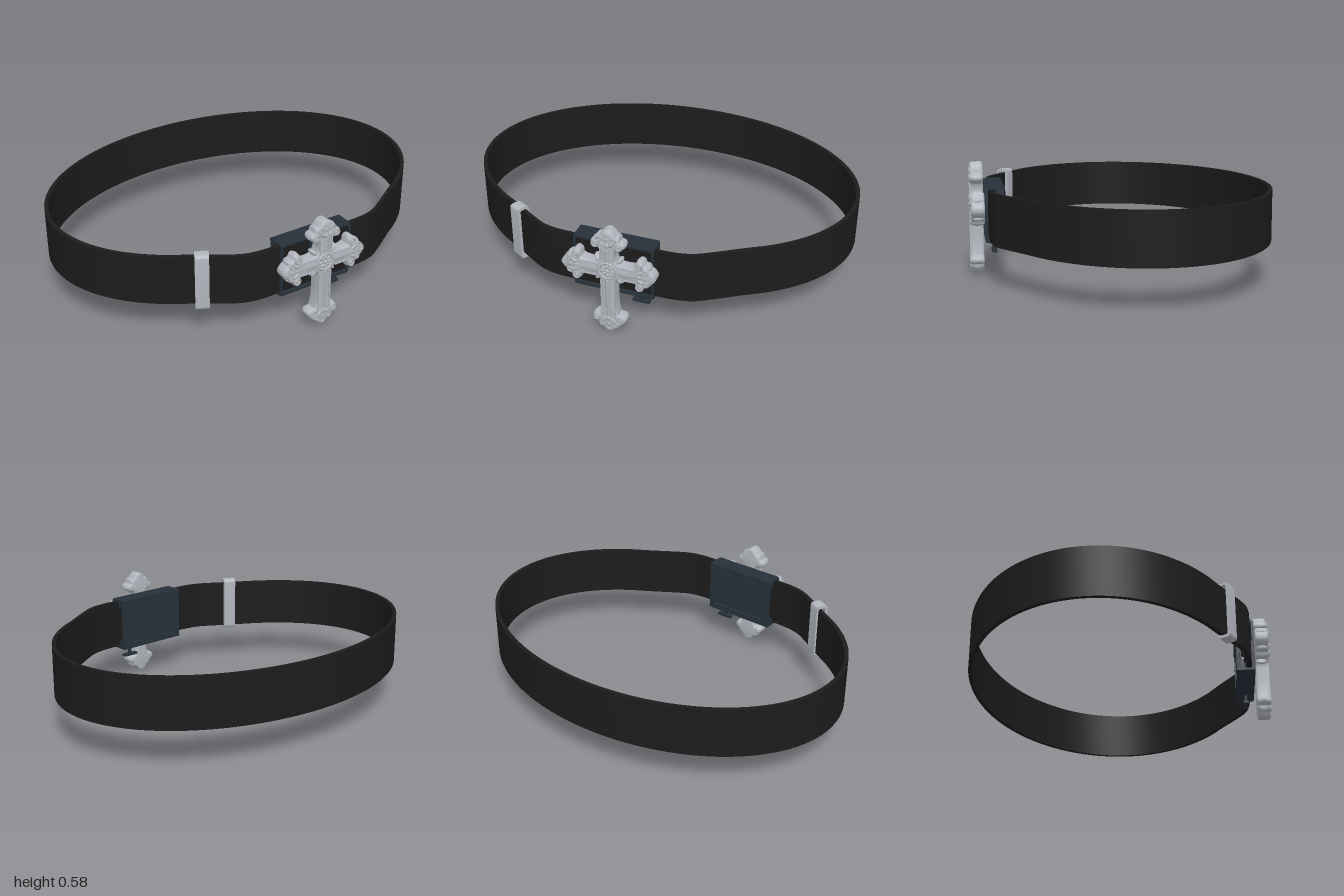
import * as THREE from 'three';
import { toCreasedNormals } from 'three/addons/utils/BufferGeometryUtils.js';

const mat = (name, color) => {
  const m = new THREE.MeshStandardMaterial({ color });
  m.name = name;
  return m;
};

function add(parent, name, geometry, material, x = 0, y = 0, z = 0) {
  const mesh = new THREE.Mesh(geometry, material);
  mesh.name = name;
  mesh.position.set(x, y, z);
  parent.add(mesh);
  return mesh;
}

const box = (parent, name, m, w, h, d, x, y, z) =>
  add(parent, name, new THREE.BoxGeometry(w, h, d), m, x, y, z);

// Rectangle with rounded corners, used for frames and their openings
function roundedRect(path, w, h, r) {
  const x = w / 2, y = h / 2;
  path.moveTo(-x + r, -y);
  path.lineTo(x - r, -y).quadraticCurveTo(x, -y, x, -y + r);
  path.lineTo(x, y - r).quadraticCurveTo(x, y, x - r, y);
  path.lineTo(-x + r, y).quadraticCurveTo(-x, y, -x, y - r);
  path.lineTo(-x, -y + r).quadraticCurveTo(-x, -y, -x + r, -y);
  return path;
}

function frame(w, h, t, depth, r) {
  const shape = roundedRect(new THREE.Shape(), w, h, r);
  shape.holes.push(roundedRect(new THREE.Path(), w - 2 * t, h - 2 * t, r * 0.5));
  const g = new THREE.ExtrudeGeometry(shape, { depth, bevelEnabled: false, curveSegments: 5 });
  return toCreasedNormals(g.translate(0, 0, -depth / 2), 0.6);
}

// Strap: oval loop with a flattened front, given thickness by offsetting its path
function strap() {
  const pts = [];
  const a0 = -0.93, a1 = Math.PI + 0.93;
  for (let i = 0; i <= 44; i++) {
    const a = a0 + (a1 - a0) * i / 44;
    pts.push([0.985 * Math.cos(a), -0.05 - 0.705 * Math.sin(a)]);
  }
  const front = [[-0.44, 0.61], [-0.38, 0.643], [-0.31, 0.66], [-0.22, 0.665]];
  pts.push(...front, [0, 0.665], ...front.map(([x, z]) => [-x, z]).reverse());
  const curve = new THREE.CatmullRomCurve3(pts.map(([x, z]) => new THREE.Vector3(x, -z, 0)), true);
  const n = 180, outer = [], inner = [];
  for (let i = 0; i < n; i++) {
    const p = curve.getPointAt(i / n), t = curve.getTangentAt(i / n);
    outer.push(new THREE.Vector2(p.x + t.y * 0.01, p.y - t.x * 0.01));
    inner.push(new THREE.Vector2(p.x - t.y * 0.01, p.y + t.x * 0.01));
  }
  const shape = new THREE.Shape(outer);
  shape.holes.push(new THREE.Path(inner));
  const g = new THREE.ExtrudeGeometry(shape, { depth: 0.255, bevelEnabled: false });
  return toCreasedNormals(g.rotateX(-Math.PI / 2), 0.6);
}

// Cross arms: extra shaft length (right, up, left, down) and half outline of one arm
const ARMS = [0.015, 0, 0.015, 0.135];
const HALF = [[0.058, 0.04], [0.09, 0.036], [0.118, 0.046], [0.122, 0.068], [0.138, 0.083],
  [0.156, 0.078], [0.164, 0.06], [0.18, 0.056], [0.19, 0.038], [0.206, 0.026]];

function crossBody() {
  const pts = [];
  ARMS.forEach((extra, i) => {
    const c = Math.round(Math.cos(i * Math.PI / 2)), s = Math.round(Math.sin(i * Math.PI / 2));
    const put = (u, v) => pts.push(new THREE.Vector3(c * u - s * v, s * u + c * v, 0));
    const side = HALF.map(([u, v]) => [u > 0.1 ? u + extra : u, v]);
    side.forEach(([u, v]) => put(u, -v));
    put(0.22 + extra, 0);
    side.reverse().forEach(([u, v]) => put(u, v));
  });
  const curve = new THREE.CatmullRomCurve3(pts, true, 'centripetal');
  const outline = curve.getPoints(252).slice(0, -1).map(p => new THREE.Vector2(p.x, p.y));
  const g = new THREE.ExtrudeGeometry(new THREE.Shape(outline), {
    depth: 0.04, bevelThickness: 0.014, bevelSize: 0.012, bevelOffset: -0.012, bevelSegments: 3 });
  return toCreasedNormals(g.translate(0, 0, -0.02), 0.7);
}

// Raised ornament on one arm, drawn along +x
function armRelief(extra, m) {
  const arm = new THREE.Group();
  arm.name = 'armRelief';
  const ball = (u, v, r, z = 0.03, flat = 0.6) => {
    const bead = add(arm, 'bead', new THREE.SphereGeometry(r, 12, 8), m, u, v, z);
    bead.scale.z = flat;
    return bead;
  };
  const len = 0.07 + extra;
  const ridge = add(arm, 'shaftRidge', new THREE.CylinderGeometry(0.02, 0.024, len, 4, 1), m, 0.05 + len / 2, 0, 0.029);
  ridge.rotation.z = -Math.PI / 2;
  ridge.scale.z = 0.5;
  for (const s of [-1, 1]) {
    box(arm, 'shaftRim', m, len, 0.008, 0.014, 0.055 + len / 2, s * 0.031, 0.031);
    add(arm, 'scroll', new THREE.TorusGeometry(0.015, 0.006, 6, 14), m, 0.142 + extra, s * 0.058, 0.033);
    ball(0.142 + extra, s * 0.058, 0.009, 0.033);
    add(arm, 'tipScroll', new THREE.TorusGeometry(0.011, 0.005, 6, 12), m, 0.174 + extra, s * 0.033, 0.033);
    const leaf = ball(0.15 + extra, s * 0.025, 0.017);
    leaf.scale.set(1.3, 0.55, 0.6);
    leaf.rotation.z = s * 0.7;
    // Edge knobs give the silhouette its lobes
    ball(0.14 + extra, s * 0.068, 0.018, 0, 1.9);
    ball(0.178 + extra, s * 0.044, 0.014, 0, 2.3);
  }
  ball(0.14 + extra, 0, 0.014);
  ball(0.172 + extra, 0, 0.012);
  const tip = add(arm, 'tipDiamond', new THREE.OctahedronGeometry(0.022), m, 0.199 + extra, 0, 0.026);
  tip.scale.z = 0.6;
  return arm;
}

export function createModel() {
  const model = new THREE.Group();
  model.name = 'belt';
  const leather = mat('black leather', 0x1c1c1c);
  const iron = mat('dark steel', 0x27313a);
  const silver = mat('silver', 0xb2b6bd);

  add(model, 'strap', strap(), leather, 0, 0.2, 0);

  // Keeper loop wrapped round the strap
  const keeper = add(model, 'keeperLoop', frame(0.064, 0.29, 0.014, 0.066, 0.018), silver, -0.545, 0.33, 0.555);
  keeper.rotation.y = Math.PI / 2 - 0.5;

  // Buckle case: open ends for the strap, slim front frame, recessed back panel
  const buckle = new THREE.Group();
  buckle.name = 'buckleCase';
  buckle.position.set(0, 0.328, 0);
  model.add(buckle);
  for (const s of [-1, 1]) {
    box(buckle, 'casePlate', iron, 0.4, 0.012, 0.09, 0, s * 0.132, 0.645);
    for (const t of [-1, 1]) box(buckle, 'cornerPost', iron, 0.012, 0.04, 0.03, t * 0.192, s * 0.118, 0.63);
  }
  add(buckle, 'frontFrame', frame(0.4, 0.276, 0.01, 0.012, 0.012), iron, 0, 0, 0.688);
  add(buckle, 'backFrame', frame(0.4, 0.276, 0.03, 0.014, 0.012), iron, 0, 0, 0.609);
  box(buckle, 'backPanel', iron, 0.36, 0.23, 0.008, 0, 0, 0.622);
  box(buckle, 'clampPlate', iron, 0.25, 0.2, 0.012, 0.02, 0, 0.614);

  // Release peg under the case
  add(buckle, 'pegStem', new THREE.CylinderGeometry(0.01, 0.01, 0.06, 12), iron, 0.125, -0.158, 0.65);
  box(buckle, 'pegHandle', iron, 0.085, 0.012, 0.026, 0.125, -0.188, 0.65);

  // Ornamental cross
  const cross = new THREE.Group();
  cross.name = 'cross';
  cross.position.set(0, 0.355, 0.732);
  model.add(cross);
  add(cross, 'crossBody', crossBody(), silver);
  ARMS.forEach((extra, i) => {
    const arm = armRelief(extra, silver);
    arm.rotation.z = i * Math.PI / 2;
    cross.add(arm);
    // Curled ray between the arms
    const a = (i + 0.5) * Math.PI / 2;
    const ray = add(cross, 'diagonalRay', new THREE.SphereGeometry(0.02, 12, 8), silver,
      0.072 * Math.cos(a), 0.072 * Math.sin(a), 0);
    ray.scale.set(1.3, 0.6, 1.4);
    ray.rotation.z = a;
  });
  // Centre rosette
  add(cross, 'rosetteRing', new THREE.TorusGeometry(0.042, 0.007, 8, 28), silver, 0, 0, 0.032);
  for (let i = 0; i < 8; i++) {
    const a = i * Math.PI / 4;
    const petal = add(cross, 'petal', new THREE.SphereGeometry(0.013, 10, 8), silver,
      0.024 * Math.cos(a), 0.024 * Math.sin(a), 0.031);
    petal.scale.set(1, 0.6, 0.6);
    petal.rotation.z = a;
  }
  add(cross, 'rosetteBead', new THREE.SphereGeometry(0.011, 12, 8), silver, 0, 0, 0.031);
  box(cross, 'mountBlock', iron, 0.06, 0.2, 0.03, 0, -0.02, -0.045);

  return model;
}
